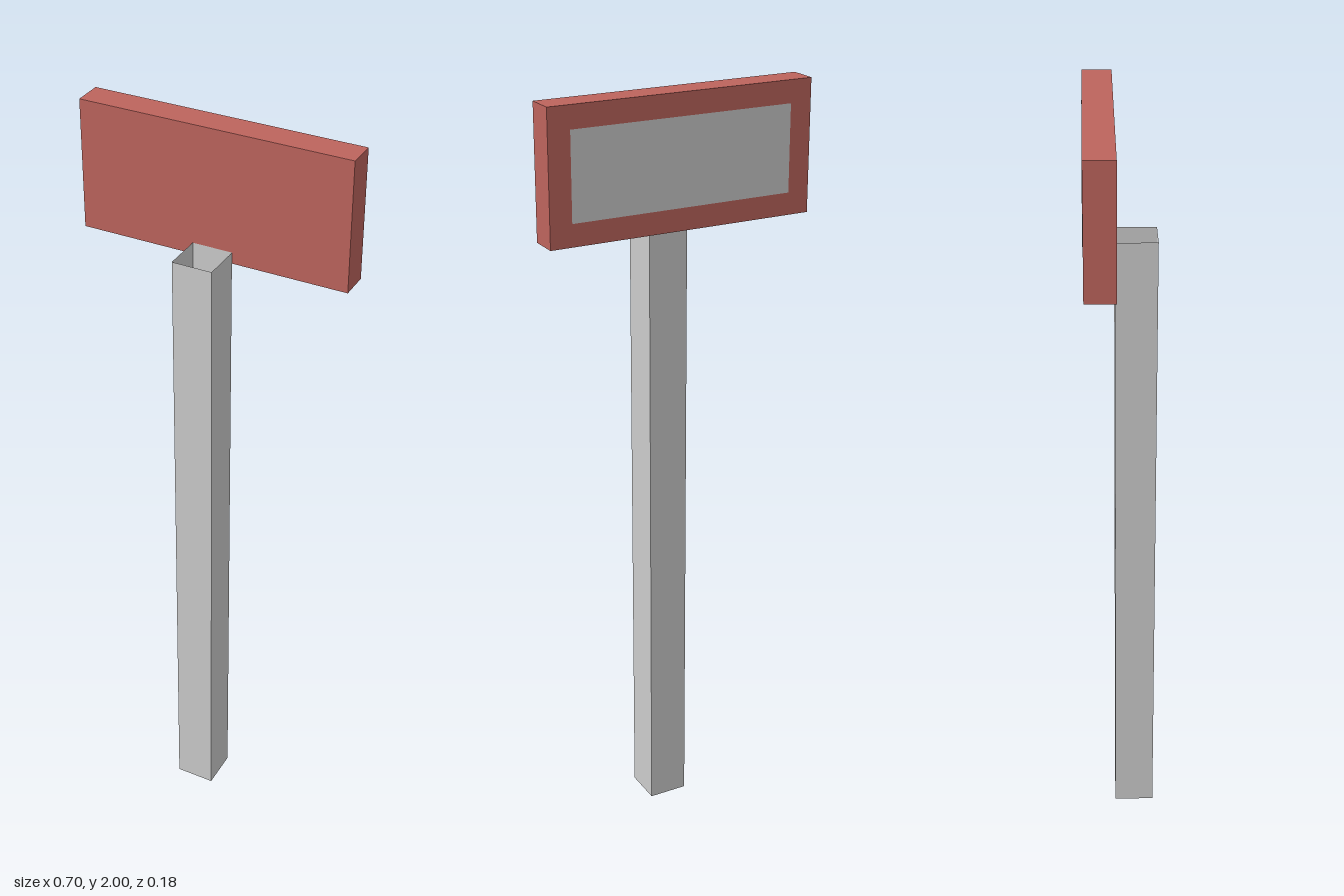
import * as THREE from 'three';

const grey = new THREE.MeshStandardMaterial({ color: 0xcccccc, side: THREE.DoubleSide, flatShading: true });
const red = new THREE.MeshStandardMaterial({ color: 0xbd645d, flatShading: true });

function add(group, name, geometry, material, x, y, z) {
  const mesh = new THREE.Mesh(geometry, material);
  mesh.name = name;
  mesh.position.set(x, y, z);
  group.add(mesh);
  return mesh;
}

export function createModel() {
  const group = new THREE.Group();
  group.name = 'signpost';

  // Hollow square post, open at both ends
  const side = 0.105, height = 1.695;
  const post = new THREE.CylinderGeometry(side / Math.SQRT2, side / Math.SQRT2, height, 4, 1, true);
  post.rotateY(Math.PI / 4);
  add(group, 'post', post, grey, 0, height / 2, 0.038);

  // Board fixed behind the top of the post
  const w = 0.705, h = 0.335, d = 0.0755, margin = 0.057;
  const boardY = 2 - h / 2, boardZ = -0.053;
  add(group, 'board', new THREE.BoxGeometry(w, h, d), red, 0, boardY, boardZ);

  // Flat panel on the board's back face
  const panel = new THREE.PlaneGeometry(w - 2 * margin, h - 2 * margin).rotateY(Math.PI);
  add(group, 'panel', panel, grey, 0, boardY, boardZ - d / 2 - 0.001);

  return group;
}
